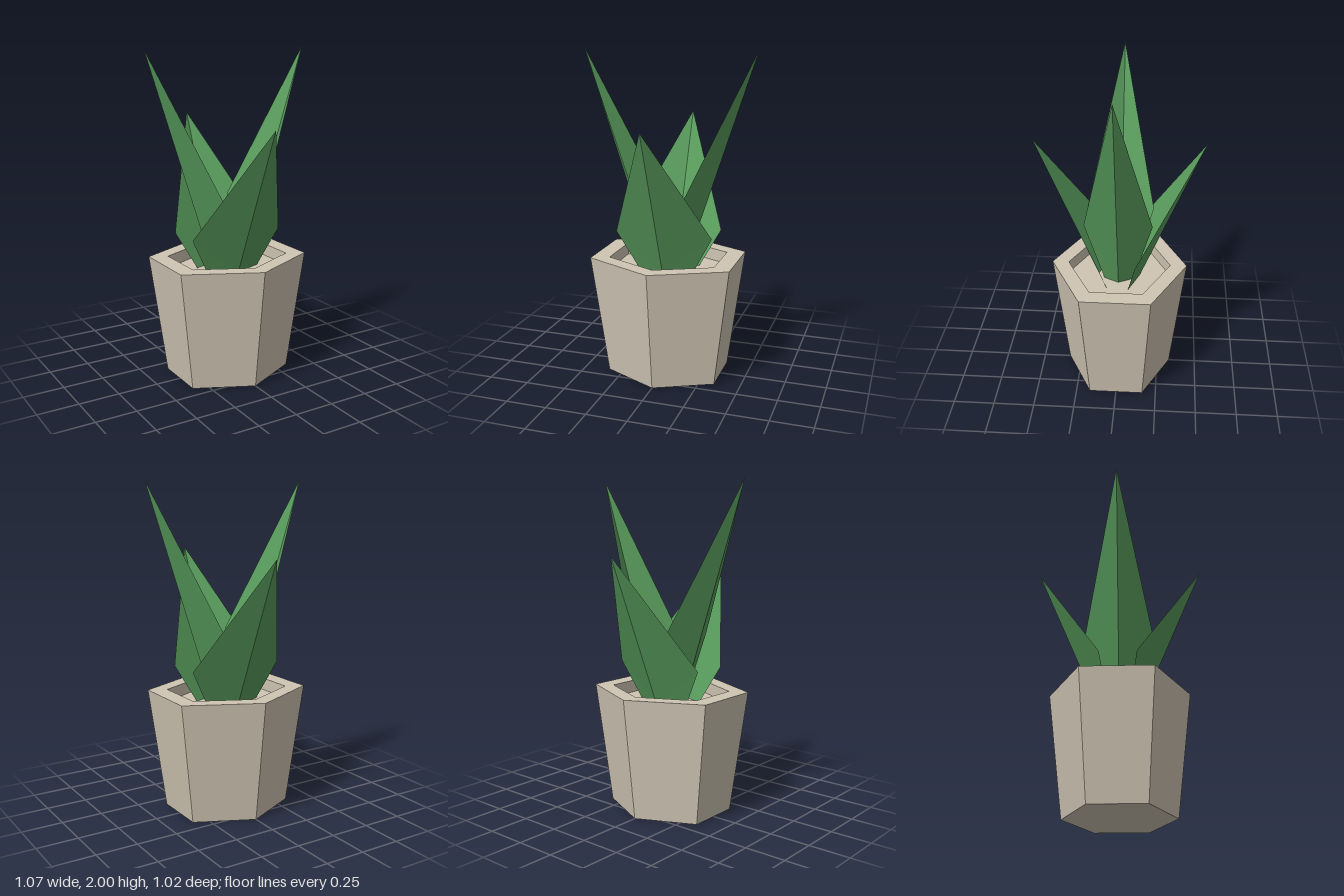
import * as THREE from 'three';

const potMat = new THREE.MeshStandardMaterial({ color: 0xcfc5b3, flatShading: true });
potMat.name = 'beige ceramic';
const leafMat = new THREE.MeshStandardMaterial({ color: 0x5a9e5e, flatShading: true, side: THREE.DoubleSide });
leafMat.name = 'leaf green';

const SOIL = 0.67;

// Folded leaf leaning towards +z: two flat wings meeting at a straight ridge.
// base and wide give the wing edge points, root and tip the ridge ends.
function makeLeaf({ root, base, wide, tip }) {
  const positions = [];
  for (const side of [1, -1]) {
    const [r, b, w, t] = [root, base, wide, tip].map(([x, y, z]) => [x * side, y, z]);
    const tris = side > 0 ? [r, b, w, r, w, t] : [r, w, b, r, t, w];
    positions.push(...tris.flat());
  }
  const geometry = new THREE.BufferGeometry();
  geometry.setAttribute('position', new THREE.Float32BufferAttribute(positions, 3));
  geometry.computeVertexNormals();
  return geometry;
}

export function createModel() {
  const model = new THREE.Group();
  model.name = 'pottedPlant';

  // Hexagonal pot: underside, tapered wall, rim, inner wall and floor
  const profile = [[0, 0], [0.33, 0], [0.42, 0.745], [0.318, 0.745], [0.318, SOIL], [0, SOIL]];
  const pot = new THREE.Mesh(
    new THREE.LatheGeometry(profile.map(([r, y]) => new THREE.Vector2(r, y)), 6),
    potMat
  );
  pot.geometry.scale(1.196, 1, 1);
  pot.name = 'pot';
  model.add(pot);

  // Two tall narrow leaves at the sides, two short broad ones front and back
  const tall = makeLeaf({
    root: [0, SOIL, 0.1], base: [0.09, SOIL, 0.05], wide: [0.205, 1.08, 0.12], tip: [0, 2, 0.535],
  });
  const broad = makeLeaf({
    root: [0, SOIL, 0.13], base: [0.177, SOIL, 0.064], wide: [0.302, 0.9, 0.11], tip: [0, 1.575, 0.51],
  });
  const names = ['frontLeaf', 'leftLeaf', 'backLeaf', 'rightLeaf'];
  names.forEach((name, i) => {
    const leaf = new THREE.Mesh(i % 2 ? tall : broad, leafMat);
    leaf.rotation.y = (i * Math.PI) / 2;
    leaf.name = name;
    model.add(leaf);
  });

  return model;
}
